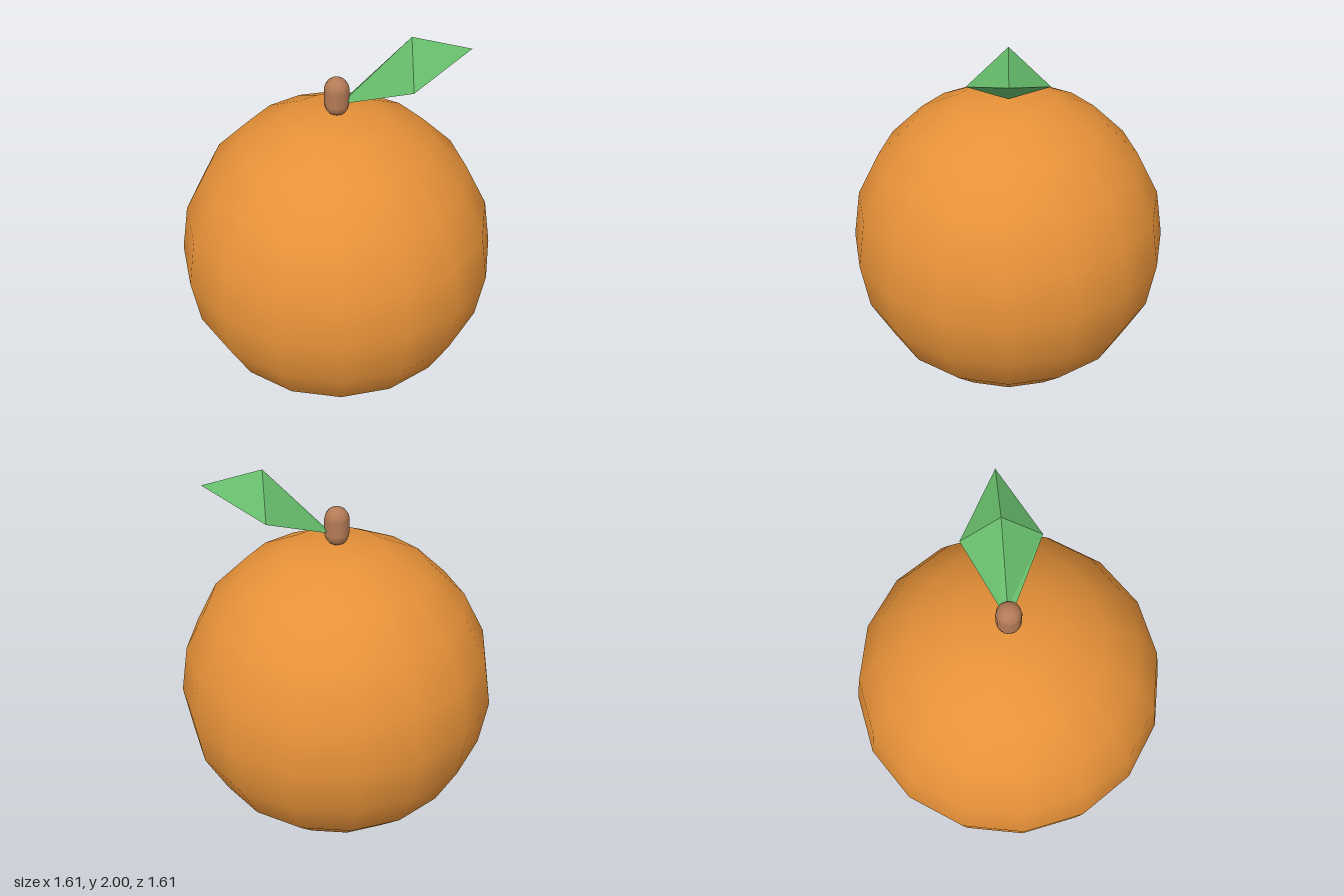
import * as THREE from 'three';

const flesh = new THREE.MeshStandardMaterial({ color: 0xe69138 });
flesh.name = 'orange';
const wood = new THREE.MeshStandardMaterial({ color: 0xb47b56 });
wood.name = 'brown';
const green = new THREE.MeshStandardMaterial({ color: 0x66bb6a });
green.name = 'green';

// Leaf lofted from diamond cross-sections: [x, top y, side y, bottom y, half width]
function leafGeometry() {
  const sections = [
    [0.05, 1.685, 1.676, 1.67, 0.03],
    [0.345, 2.0, 1.81, 1.75, 0.19],
    [0.628, 1.935, 1.935, 1.935, 0],
  ];
  const rings = sections.map(([x, top, side, bottom, w]) => [
    [x, top, 0], [x, side, w], [x, bottom, 0], [x, side, -w],
  ]);
  const pos = [];
  const tri = (a, b, c) => pos.push(...a, ...b, ...c);
  for (let i = 0; i < 4; i++) {
    const j = (i + 1) % 4;
    const [base, mid, tip] = rings;
    tri(base[i], base[j], mid[j]);
    tri(base[i], mid[j], mid[i]);
    tri(mid[i], mid[j], tip[0]);
  }
  // Close the stalk end
  tri(rings[0][0], rings[0][2], rings[0][1]);
  tri(rings[0][0], rings[0][3], rings[0][2]);
  const geometry = new THREE.BufferGeometry();
  geometry.setAttribute('position', new THREE.Float32BufferAttribute(pos, 3));
  geometry.computeVertexNormals();
  return geometry;
}

export function createModel() {
  const group = new THREE.Group();
  group.name = 'fruit';
  const add = (name, geometry, material, y = 0) => {
    const mesh = new THREE.Mesh(geometry, material);
    mesh.name = name;
    mesh.position.y = y;
    group.add(mesh);
  };

  // Round body, smooth shaded with few segments
  add('body', new THREE.SphereGeometry(0.805, 16, 10), flesh, 0.81);
  // Rounded stem resting on the crown
  add('stem', new THREE.CapsuleGeometry(0.061, 0.073, 4, 12), wood, 1.698);
  // Faceted leaf
  add('leaf', leafGeometry(), green);

  return group;
}
